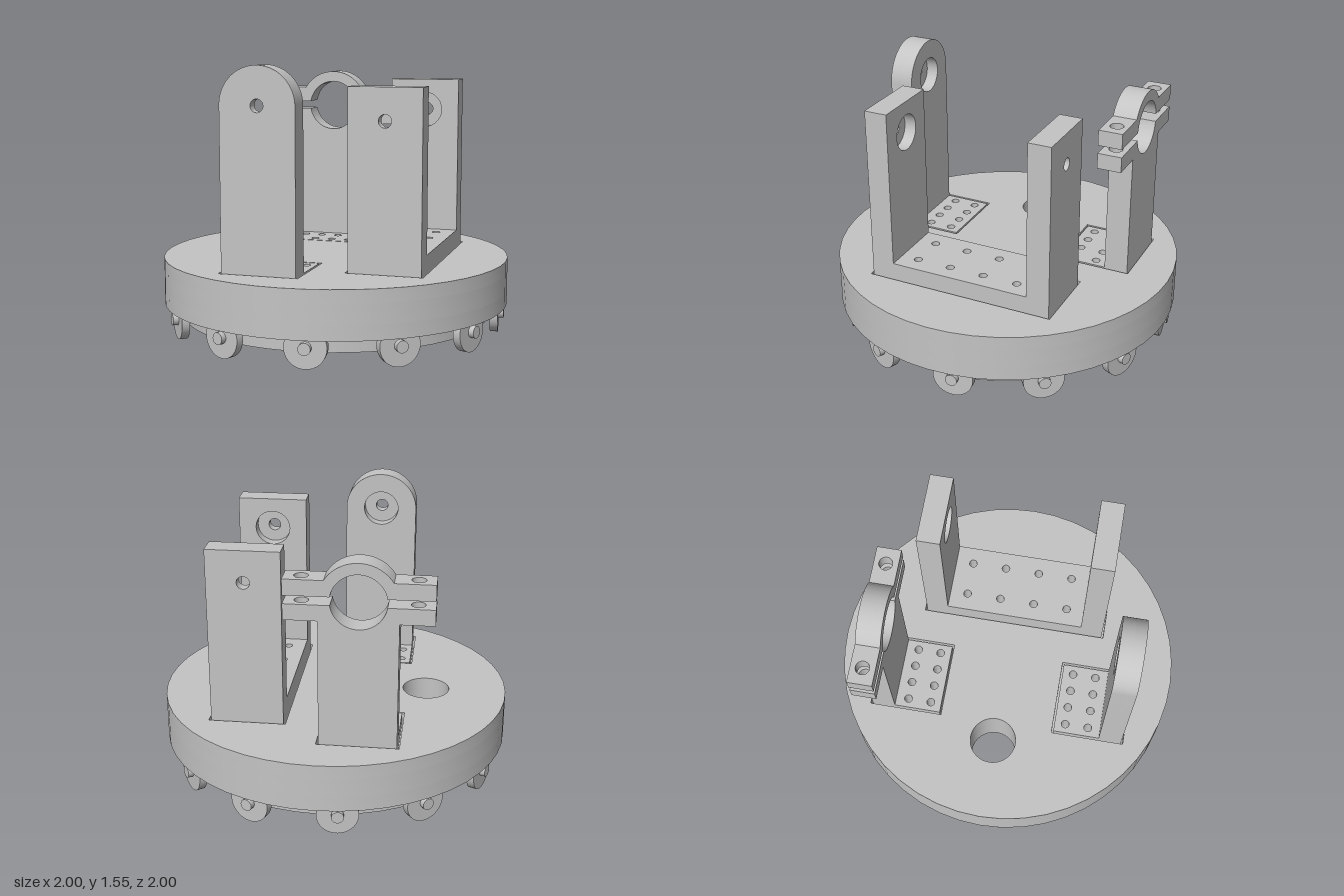
import * as THREE from 'three';
import { toCreasedNormals } from 'three/addons/utils/BufferGeometryUtils.js';

const TURN = 0.135; // the brackets sit slightly turned on the base

export function createModel() {
  const model = new THREE.Group();
  const metal = new THREE.MeshStandardMaterial({ color: 0xc4c4c4 });
  metal.name = 'grey metal';

  const circle = (Type, x, y, r) => {
    const p = new Type();
    p.absarc(x, y, r, 0, Math.PI * 2, false);
    return p;
  };
  const rect = (Type, cx, cy, hw, hh) => {
    const p = new Type();
    p.moveTo(cx - hw, cy - hh);
    p.lineTo(cx + hw, cy - hh);
    p.lineTo(cx + hw, cy + hh);
    p.lineTo(cx - hw, cy + hh);
    p.closePath();
    return p;
  };
  const hole = (x, y, r) => circle(THREE.Path, x, y, r);
  const add = (parent, name, geometry) => {
    const mesh = new THREE.Mesh(geometry, metal);
    mesh.name = name;
    parent.add(mesh);
    return mesh;
  };
  const extrude = (shape, holes, depth) => {
    shape.holes.push(...holes);
    return new THREE.ExtrudeGeometry(shape, { depth, bevelEnabled: false, curveSegments: 24 });
  };
  // Plate lying flat: shape y is -z, spanning heights y0 to y1
  const flat = (parent, name, shape, holes, y0, y1) => {
    const g = extrude(shape, holes, y1 - y0).rotateX(-Math.PI / 2).translate(0, y0, 0);
    return add(parent, name, toCreasedNormals(g, 0.5));
  };
  // Plate standing upright, spanning depths z0 to z1
  const upright = (parent, name, shape, holes, z0, z1) => {
    const g = extrude(shape, holes, z1 - z0).translate(0, 0, z0);
    return add(parent, name, toCreasedNormals(g, 0.5));
  };

  const group = (name, parent) => {
    const g = new THREE.Group();
    g.name = name;
    parent.add(g);
    return g;
  };
  const body = group('turnedBody', model);
  body.rotation.y = TURN;

  // Screw hole positions as [x, z]
  const CX = -0.205, UX = 0.433;
  const plateHoles = [], channelHoles = [];
  for (const dx of [-0.159, -0.053, 0.053, 0.159])
    for (const z of [0.41, 0.547]) plateHoles.push([CX + dx, z]);
  const rearHoles = plateHoles.map(([x, z]) => [x, -z]);
  for (const dx of [-0.102, 0.102])
    for (const z of [-0.308, -0.103, 0.103, 0.308]) channelHoles.push([UX + dx, z]);
  const screws = (list) => list.map(([x, z]) => hole(x, -z, 0.0235));
  const allScrews = () => screws([...plateHoles, ...rearHoles, ...channelHoles]);
  const port = () => hole(-0.535, 0, 0.135);

  // Base disc: pocketed top and solid web
  const base = group('base', body);
  const F = 0.36, TOP = 0.435, WEB = 0.25, LOW = 0.165, BOSS = 0.12;
  flat(base, 'baseTop', circle(THREE.Shape, 0, 0, 1), [
    port(),
    rect(THREE.Path, UX, 0, 0.216, 0.556),
    rect(THREE.Path, CX, -0.551, 0.225, 0.215),
    rect(THREE.Path, CX, 0.551, 0.225, 0.215),
  ], F, TOP);
  flat(base, 'baseWeb', circle(THREE.Shape, 0, 0, 1), [port(), ...allScrews()], WEB, F);

  // Underside: outer rim, wheel groove, hanging ring and a central boss with a square recess
  const recess = () => rect(THREE.Path, 0, 0, 0.22, 0.22);
  flat(base, 'baseUnderside', circle(THREE.Shape, 0, 0, 0.885),
    [port(), recess(), ...allScrews()], LOW, WEB);
  flat(base, 'centralBoss', circle(THREE.Shape, 0, 0, 0.705),
    [port(), recess(), ...allScrews()], BOSS, LOW);
  flat(base, 'baseRim', circle(THREE.Shape, 0, 0, 1), [hole(0, 0, 0.975)], LOW, WEB);
  flat(base, 'wheelRing', circle(THREE.Shape, 0, 0, 0.885), [hole(0, 0, 0.79)], 0.075, LOW);

  // Standing plate with a small through hole, counterbored on one side
  const boredPlate = (parent, name, makeShape, x, y, zOut, zIn) => {
    const mid = zOut + (zIn - zOut) * 0.48;
    const span = (a, b) => [Math.min(a, b), Math.max(a, b)];
    upright(parent, name + 'Outer', makeShape(), [hole(x, y, 0.036)], ...span(zOut, mid));
    upright(parent, name + 'Inner', makeShape(), [hole(x, y, 0.103)], ...span(mid, zIn));
  };

  // U-shaped channel bracket
  const channel = group('channelBracket', body);
  const LEG0 = 0.412, LEG1 = 0.545;
  flat(channel, 'channelFloor', rect(THREE.Shape, UX, 0, 0.204, LEG0), screws(channelHoles), F, 0.53);
  const leg = () => rect(THREE.Shape, UX, (F + 1.437) / 2, 0.204, (1.437 - F) / 2);
  boredPlate(channel, 'frontLeg', leg, UX, 1.257, LEG1, LEG0);
  boredPlate(channel, 'backLeg', leg, UX, 1.257, -LEG1, -LEG0);

  // Round-topped front bracket
  const W = 0.212;
  const front = group('roundedBracket', body);
  const footShape = (z) => rect(THREE.Shape, CX, -z, W, 0.137);
  flat(front, 'roundedFoot', footShape(0.483), screws(plateHoles), F, TOP);
  const dome = () => {
    const s = new THREE.Shape();
    s.moveTo(CX - W, F);
    s.lineTo(CX + W, F);
    s.lineTo(CX + W, 1.339);
    s.absarc(CX, 1.339, W, 0, Math.PI, false);
    s.closePath();
    return s;
  };
  boredPlate(front, 'roundedPlate', dome, CX, 1.339, 0.755, 0.62);

  // Split clamp bracket at the back
  const clamp = group('clampBracket', body);
  flat(clamp, 'clampFoot', footShape(-0.483), screws(rearHoles), F, TOP);
  const BY = 1.257, R = 0.15, a = Math.asin(0.023 / R), Z0 = -0.757, Z1 = -0.62;
  const lower = new THREE.Shape();
  lower.moveTo(CX - W, F);
  lower.lineTo(CX + W, F);
  lower.lineTo(CX + W, BY - 0.023);
  lower.absarc(CX, BY, R, -a, -Math.PI + a, true);
  lower.lineTo(CX - W, BY - 0.023);
  lower.closePath();
  upright(clamp, 'clampPost', lower, [], Z0, Z1);
  const RO = 0.212, b = Math.asin(0.112 / RO);
  const cap = new THREE.Shape();
  cap.moveTo(CX + W, BY + 0.023);
  cap.lineTo(CX + W, BY + 0.112);
  cap.absarc(CX, BY, RO, b, Math.PI - b, false);
  cap.lineTo(CX - W, BY + 0.112);
  cap.lineTo(CX - W, BY + 0.023);
  cap.absarc(CX, BY, R, Math.PI - a, a, true);
  cap.closePath();
  upright(clamp, 'clampCap', cap, [], Z0, Z1);
  for (const side of [-1, 1])
    for (const y of [BY - 0.112, BY + 0.023])
      flat(clamp, 'clampEar',
        rect(THREE.Shape, CX + side * 0.3035, 0.6885, 0.0915, 0.0685),
        [hole(CX + side * 0.303, 0.69, 0.038)], y, y + 0.089);

  // Twelve wheels on radial axles under the rim
  const wheelGeo = new THREE.CylinderGeometry(0.115, 0.115, 0.045, 36).rotateX(Math.PI / 2);
  const axleGeo = new THREE.CylinderGeometry(0.034, 0.034, 0.11, 16).rotateX(Math.PI / 2);
  const wheels = group('wheels', model);
  for (let i = 0; i < 12; i++) {
    const unit = group('wheelUnit', wheels);
    unit.rotation.y = (15 + 30 * i) * Math.PI / 180;
    add(unit, 'wheel', wheelGeo).position.set(0, 0.116, 0.931);
    add(unit, 'axle', axleGeo).position.set(0, 0.116, 0.93);
  }
  return model;
}
